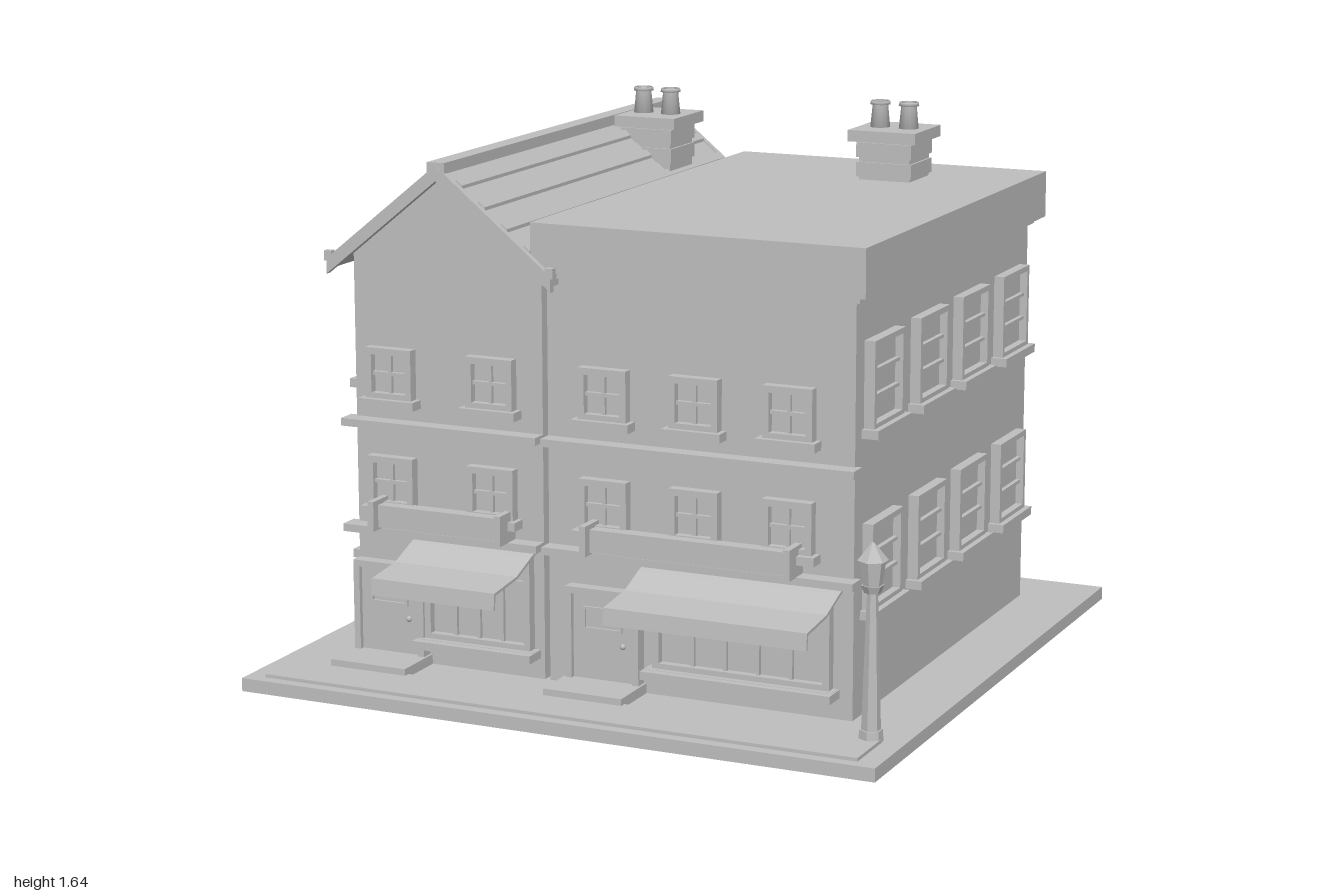
import * as THREE from 'three';

const stone = new THREE.MeshStandardMaterial({ color: 0xbebebe });
stone.name = 'plain grey';

function add(parent, name, geometry) {
  const mesh = new THREE.Mesh(geometry, stone);
  mesh.name = name;
  parent.add(mesh);
  return mesh;
}

// Box given by its two extreme corners
function box(parent, name, x0, x1, y0, y1, z0, z1) {
  const mesh = add(parent, name, new THREE.BoxGeometry(x1 - x0, y1 - y0, z1 - z0));
  mesh.position.set((x0 + x1) / 2, (y0 + y1) / 2, (z0 + z1) / 2);
  return mesh;
}

// Outline in x, y pushed along z
function prism(parent, name, points, z0, z1) {
  const shape = new THREE.Shape(points.map(([x, y]) => new THREE.Vector2(x, y)));
  const mesh = add(parent, name, new THREE.ExtrudeGeometry(shape, { depth: z1 - z0, bevelEnabled: false }));
  mesh.position.z = z0;
  return mesh;
}

// Rectangular frame with an opening, standing on its bottom middle
function frame(parent, name, w, h, border, depth) {
  const s = new THREE.Shape([[-w / 2, 0], [w / 2, 0], [w / 2, h], [-w / 2, h]].map(p => new THREE.Vector2(...p)));
  const a = w / 2 - border, t = h - border;
  s.holes.push(new THREE.Path([[-a, border], [-a, t], [a, t], [a, border]].map(p => new THREE.Vector2(...p))));
  return add(parent, name, new THREE.ExtrudeGeometry(s, { depth, bevelEnabled: false }));
}

// Window facing +z: columns and rows give the glazing bars
function windowUnit(w, h, border, cols, rows) {
  const g = new THREE.Group();
  g.name = 'window';
  const a = w / 2 - border, inner = h - 2 * border;
  frame(g, 'windowFrame', w, h, border, 0.032);
  box(g, 'glass', -a, a, border, h - border, 0, 0.008);
  for (let i = 1; i < cols; i++) {
    const x = -a + 2 * a * i / cols;
    box(g, 'glazingBar', x - 0.005, x + 0.005, border, h - border, 0, 0.02);
  }
  for (let i = 1; i < rows; i++) {
    const y = border + inner * i / rows;
    box(g, 'glazingBar', -a, a, y - 0.005, y + 0.005, 0, 0.022);
  }
  box(g, 'windowSill', -w / 2 - 0.015, w / 2 + 0.015, -0.022, 0.004, 0, 0.05);
  return g;
}

function door(parent, x) {
  const g = new THREE.Group();
  g.name = 'door';
  frame(g, 'doorFrame', 0.235, 0.295, 0.02, 0.04);
  box(g, 'doorLeaf', -0.1, 0.1, 0.02, 0.28, 0, 0.025);
  const pane = frame(g, 'doorPaneFrame', 0.125, 0.07, 0.008, 0.008);
  pane.position.set(-0.002, 0.168, 0.025);
  const knob = add(g, 'doorKnob', new THREE.SphereGeometry(0.009, 8, 6));
  knob.position.set(0.065, 0.13, 0.032);
  g.position.set(x, 0.05, 0.64);
  parent.add(g);
  box(parent, 'doorstep', x - 0.125, x + 0.125, 0.04, 0.07, 0.64, 0.81);
}

// Sagging awning sheet with a hanging lip
function awning(parent, x0, x1) {
  const line = [[0.64, 0.435], [0.69, 0.42], [0.78, 0.385], [0.92, 0.37], [0.925, 0.32]];
  const outline = [...line, [0.917, 0.32], [0.912, 0.362], [0.777, 0.377], [0.687, 0.411], [0.64, 0.426]];
  const mesh = prism(parent, 'awning', outline.map(([z, y]) => [-z, y]), 0, x1 - x0);
  mesh.position.set(x0, 0, 0);
  mesh.rotation.y = Math.PI / 2;
}

function shopWindow(parent, x0, x1, panes) {
  const g = windowUnit(x1 - x0, 0.3, 0.02, panes, 1);
  g.name = 'shopWindow';
  g.position.set((x0 + x1) / 2, 0.125, 0.64);
  parent.add(g);
  box(g, 'transomBar', -(x1 - x0) / 2 + 0.02, (x1 - x0) / 2 - 0.02, 0.2, 0.21, 0, 0.02);
  box(parent, 'shopSill', x0 - 0.02, x1 + 0.02, 0.103, 0.128, 0.64, 0.715);
}

function signBoard(parent, x0, x1) {
  box(parent, 'signBoard', x0, x1, 0.462, 0.53, 0.665, 0.71);
  for (const x of [x0, x1]) box(parent, 'signBracket', x - 0.01, x + 0.01, 0.455, 0.545, 0.64, 0.738);
}

function chimney(parent, x, base) {
  const g = new THREE.Group();
  g.name = 'chimney';
  box(g, 'chimneyStack', -0.083, 0.083, base, 1.53, -0.083, 0.083);
  for (const y of [1.415, 1.475]) box(g, 'chimneyCourse', -0.09, 0.09, y, y + 0.045, -0.09, 0.09);
  box(g, 'chimneyCap', -0.11, 0.11, 1.525, 1.56, -0.112, 0.112);
  for (const px of [-0.047, 0.047]) {
    const pot = add(g, 'chimneyPot', new THREE.LatheGeometry(
      [[0, 0], [0.031, 0], [0.024, 0.075], [0.032, 0.076], [0.03, 0.088], [0.021, 0.088], [0.021, 0.02], [0, 0.02]]
        .map(([r, y]) => new THREE.Vector2(r, y * 0.92)), 12));
    pot.position.set(px, 1.56, 0);
  }
  g.position.set(x, 0, -0.538);
  parent.add(g);
}

function gableRoof(parent) {
  const ridgeX = -0.49, ridgeY = 1.548, slope = 0.81, run = 0.362;
  for (const s of [-1, 1]) {
    const strip = (name, d0, d1, low, high, z0, z1) => {
      const at = (d, h) => [ridgeX + s * d, ridgeY - d * slope + h];
      const pts = [at(d0, low), at(d1, low), at(d1, high), at(d0, high)];
      return prism(parent, name, s > 0 ? pts : pts.reverse(), z0, z1);
    };
    strip('roofSlab', 0, run, -0.03, 0, -0.855, 0.685);
    // Raised battens running along the ridge
    for (let i = 0; i < 5; i++) {
      const d = 0.055 + i * 0.072;
      strip('roofBatten', d, d + 0.02, -0.005, 0.01, -0.85, 0.68);
    }
    for (const z of [-0.868, 0.682]) {
      strip('bargeBoard', 0, run + 0.005, -0.04, 0.006, z, z + 0.02);
      const ex = ridgeX + s * run;
      box(parent, 'bargeEnd', ex - 0.012, ex + 0.012, 1.25, 1.28, z, z + 0.02);
    }
  }
  box(parent, 'ridgeCap', ridgeX - 0.028, ridgeX + 0.028, 1.53, 1.562, -0.865, 0.7);
}

function streetLamp(parent) {
  const g = new THREE.Group();
  g.name = 'streetLamp';
  // radius at bottom, radius at top, from, to
  for (const [name, r0, r1, y0, y1] of [
    ['lampFoot', 0.036, 0.033, 0.04, 0.075], ['lampPost', 0.028, 0.015, 0.075, 0.48],
    ['lampCollar', 0.024, 0.033, 0.468, 0.49], ['lantern', 0.028, 0.038, 0.49, 0.565],
    ['lampHood', 0.044, 0.004, 0.56, 0.61]]) {
    const geo = new THREE.CylinderGeometry(r1, r0, y1 - y0, 6).toNonIndexed();
    geo.computeVertexNormals();
    add(g, name, geo).position.y = (y0 + y1) / 2;
  }
  g.position.set(0.903, 0, 0.785);
  parent.add(g);
}

export function createModel() {
  const model = new THREE.Group();
  model.name = 'shopHouses';

  // Ground
  box(model, 'groundSlab', -1, 1, 0, 0.04, -1, 1);
  box(model, 'pavement', -0.94, 0.935, 0.035, 0.05, 0.79, 0.965);

  // Left house with gable, right house with flat roof, narrow gap between
  prism(model, 'leftHouse', [[-0.8, 0.04], [-0.182, 0.04], [-0.182, 1.268], [-0.49, 1.525], [-0.8, 1.268]], -0.8, 0.64);
  gableRoof(model);
  box(model, 'rightHouse', -0.165, 0.79, 0.04, 1.28, -0.8, 0.64);
  box(model, 'flatRoof', -0.2, 0.83, 1.262, 1.405, -0.85, 0.675);
  box(model, 'roofMoulding', -0.165, 0.805, 1.245, 1.265, -0.815, 0.655);
  chimney(model, -0.365, 1.38);
  chimney(model, 0.441, 1.39);

  // Stone bands across the fronts
  for (const [y0, y1] of [[0.755, 0.778], [0.433, 0.456]])
    for (const [x0, x1] of [[-0.825, -0.182], [-0.165, 0.807]])
      box(model, 'stringCourse', x0, x1, y0, y1, 0.63, 0.692);

  // Front windows on two floors
  for (const x of [-0.675, -0.343, 0.022, 0.308, 0.597])
    for (const y of [0.84, 0.513]) {
      const w = windowUnit(0.152, 0.155, 0.02, 2, 2);
      w.position.set(x, y, 0.64);
      model.add(w);
    }

  // Side windows on two floors, both sides
  for (const s of [-1, 1])
    for (const z of [0.46, 0.1, -0.253, -0.613])
      for (const y of [0.872, 0.347]) {
        const w = windowUnit(0.235, 0.255, 0.017, 1, 3);
        w.position.set(s > 0 ? 0.79 : -0.8, y, z);
        w.rotation.y = s * Math.PI / 2;
        model.add(w);
      }

  // Shop fronts
  door(model, -0.683);
  door(model, 0.022);
  shopWindow(model, -0.565, -0.215, 4);
  shopWindow(model, 0.18, 0.73, 5);
  awning(model, -0.6, -0.2);
  awning(model, 0.145, 0.765);
  signBoard(model, -0.705, -0.285);
  signBoard(model, -0.01, 0.625);
  streetLamp(model);

  return model;
}
